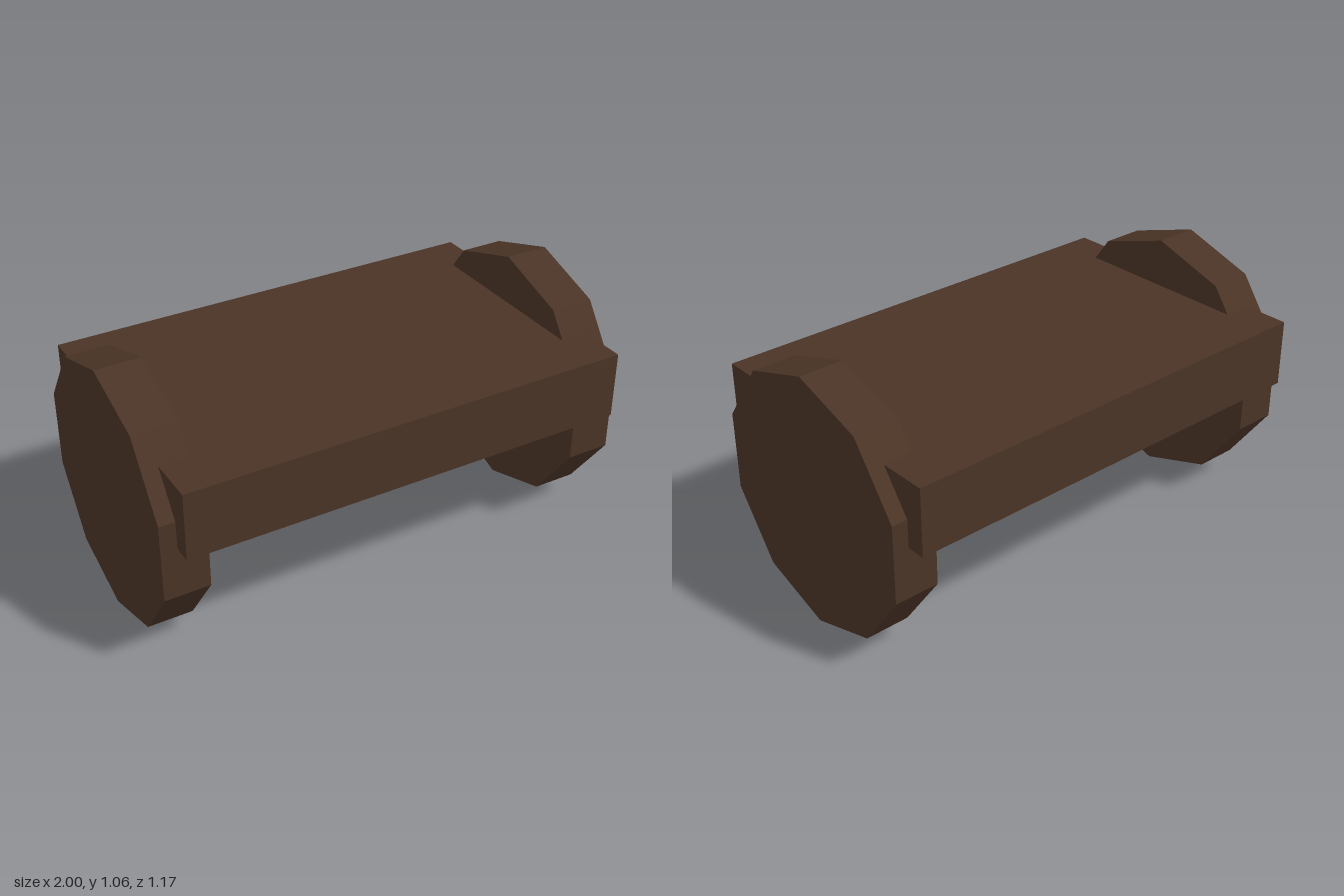
import * as THREE from 'three';

export function createModel() {
  const group = new THREE.Group();
  const wood = new THREE.MeshStandardMaterial({ color: 0x4a3426, flatShading: true });

  // Thick plank resting across the two end discs
  const plank = new THREE.Mesh(new THREE.BoxGeometry(1.87, 0.28, 1.17), wood);
  plank.name = 'seatPlank';
  plank.position.y = 0.72;
  group.add(plank);

  // Ten-sided end discs, a corner pointing straight up and down
  const radius = 0.532;
  const thickness = 0.185;
  const disc = new THREE.CylinderGeometry(radius, radius, thickness, 10, 1, false, Math.PI / 2);
  disc.rotateZ(Math.PI / 2);
  for (const [name, side] of [['leftEndDisc', 1], ['rightEndDisc', -1]]) {
    const end = new THREE.Mesh(disc, wood);
    end.name = name;
    end.position.set(side * (1 - thickness / 2), radius, 0);
    group.add(end);
  }

  return group;
}
